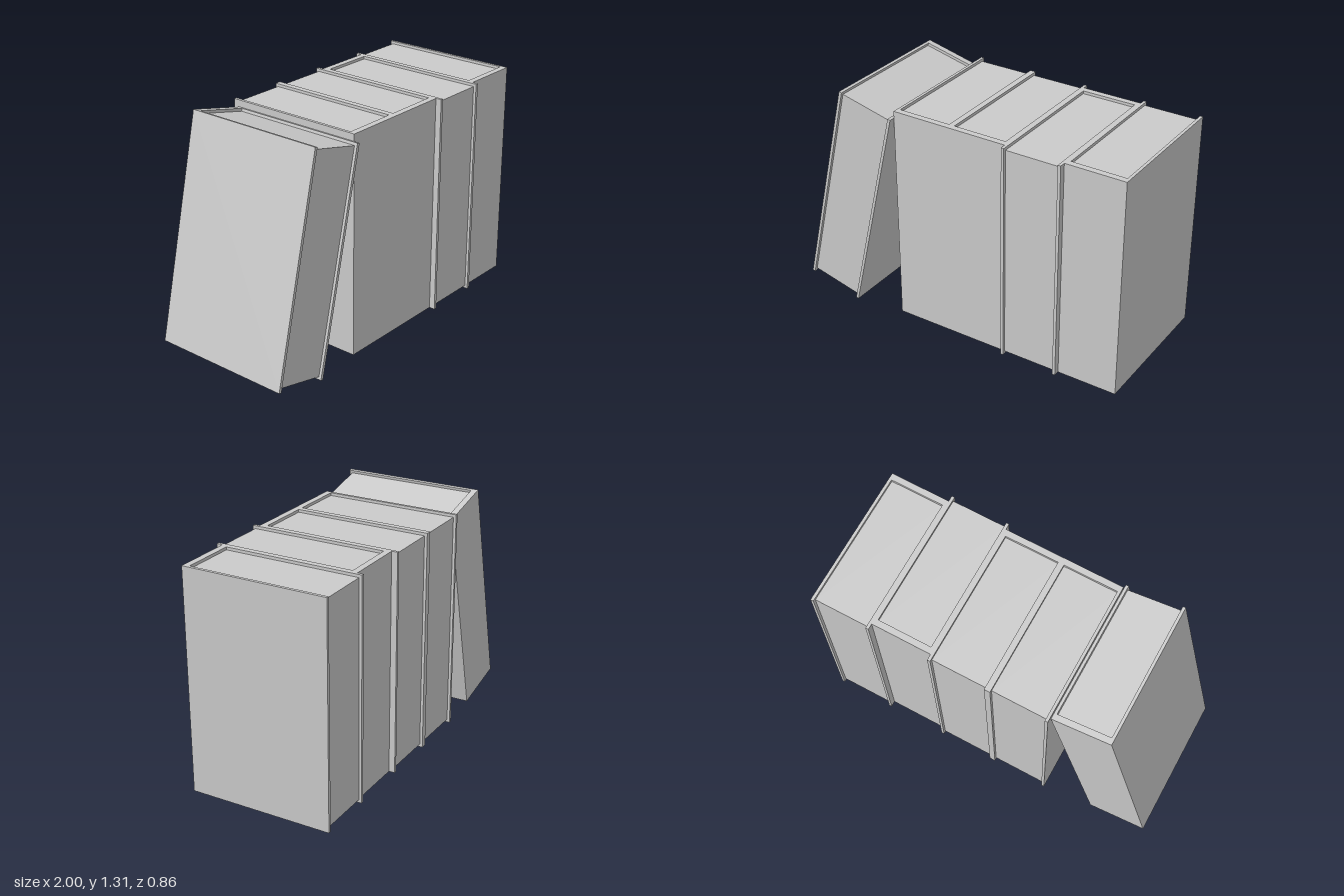
import * as THREE from 'three';

const WIDTH = 0.344, HEIGHT = 1.265, DEPTH = 0.825;
const BOARD = 0.017, SPINE = 0.036, INSET = 0.016;

const material = new THREE.MeshStandardMaterial({ color: 0xcccccc });

// U-shaped cover: two boards joined by a spine at +z, standing on y = 0
function coverGeometry() {
  const w = WIDTH / 2, d = DEPTH / 2;
  const outline = [
    [-w, -d], [w, -d], [w, d], [w - BOARD, d],
    [w - BOARD, -d + SPINE], [-w + BOARD, -d + SPINE], [-w + BOARD, d], [-w, d],
  ].map(([x, y]) => new THREE.Vector2(x, y));
  const geometry = new THREE.ExtrudeGeometry(new THREE.Shape(outline), { depth: HEIGHT, bevelEnabled: false });
  return geometry.rotateX(-Math.PI / 2).translate(0, -HEIGHT / 2, 0);
}

// Page block, recessed at the top, bottom and fore edge
function pagesGeometry() {
  const depth = DEPTH - SPINE - INSET;
  const geometry = new THREE.BoxGeometry(WIDTH - 2 * BOARD, HEIGHT - 2 * INSET, depth);
  return geometry.translate(0, 0, (INSET - SPINE) / 2);
}

export function createModel() {
  const model = new THREE.Group();
  model.name = 'bookRow';
  const cover = coverGeometry(), pages = pagesGeometry();

  function addBook(name, x, y, spineInFront, lean = 0) {
    const book = new THREE.Group();
    book.name = name;
    const parts = new THREE.Group();
    parts.name = 'book';
    for (const [partName, geometry] of [['cover', cover], ['pages', pages]]) {
      const mesh = new THREE.Mesh(geometry, material);
      mesh.name = partName;
      parts.add(mesh);
    }
    // Turn the book so its spine or its fore edge faces forward
    parts.rotation.y = spineInFront ? 0 : Math.PI;
    book.add(parts);
    book.position.set(x, y, spineInFront ? -0.017 : 0.017);
    book.rotation.z = lean;
    model.add(book);
  }

  // Four upright books, the third one shelved backwards
  [true, true, false, true].forEach((spineInFront, i) => {
    addBook(`uprightBook${i + 1}`, -0.376 + WIDTH * (i + 0.5), 0.005 + HEIGHT / 2, spineInFront);
  });

  // Book leaning against the row
  addBook('leaningBook', -0.688, 0.655, false, -0.232);

  return model;
}
